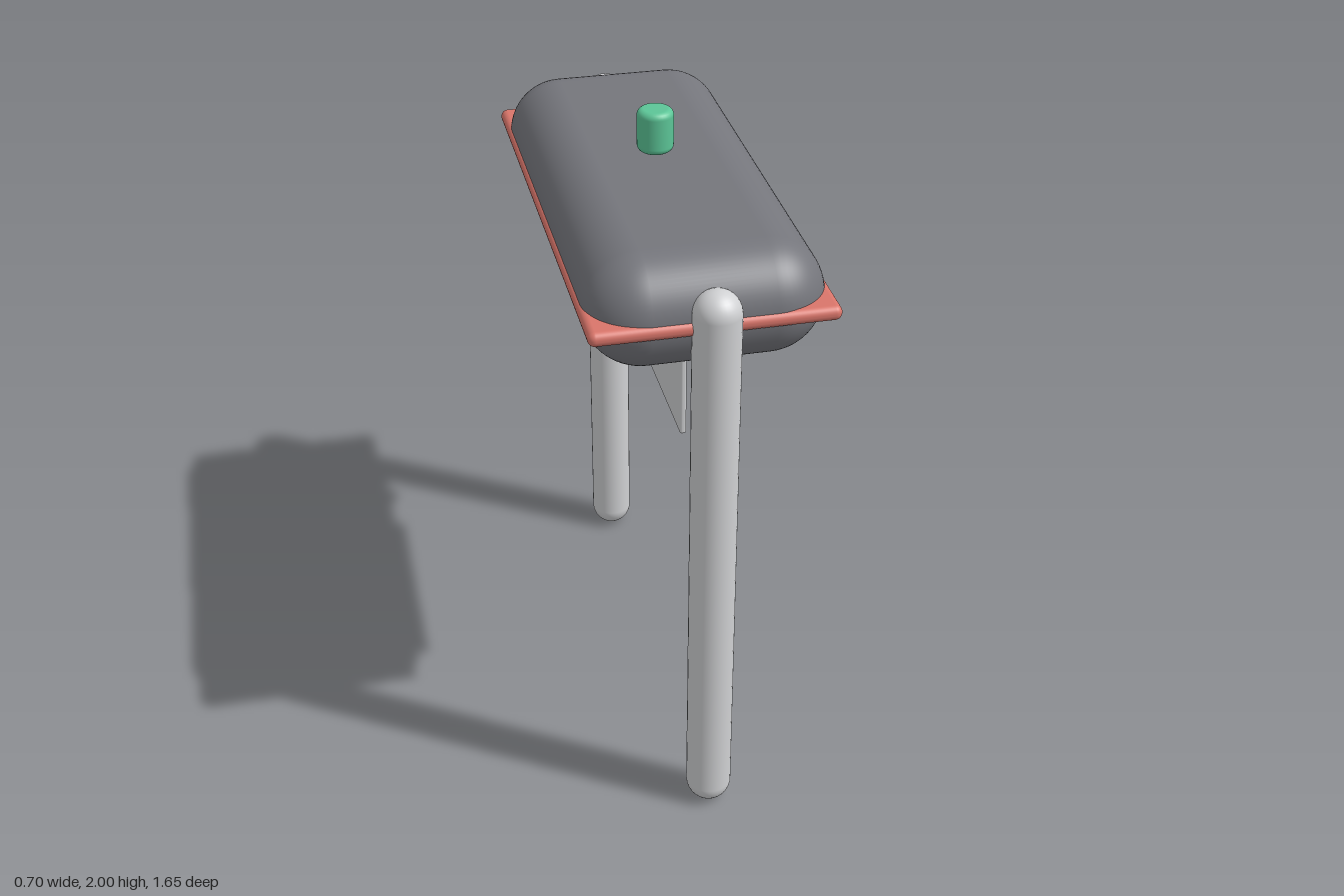
import * as THREE from 'three';
import { RoundedBoxGeometry } from 'three/addons/geometries/RoundedBoxGeometry.js';

const material = (name, color) => {
  const m = new THREE.MeshStandardMaterial({ color });
  m.name = name;
  return m;
};

// Upright cylinder with rounded rims, running from y0 to y1.
function roundedCylinder(radius, y0, y1, bevel) {
  const pts = [new THREE.Vector2(0, y0)];
  const arc = (cy, start) => {
    for (let i = 0; i <= 6; i++) {
      const a = start + (i / 6) * Math.PI / 2;
      pts.push(new THREE.Vector2(radius - bevel + bevel * Math.cos(a), cy + bevel * Math.sin(a)));
    }
  };
  arc(y0 + bevel, -Math.PI / 2);
  arc(y1 - bevel, 0);
  pts.push(new THREE.Vector2(0, y1));
  return new THREE.LatheGeometry(pts, 32);
}

export function createModel() {
  const group = new THREE.Group();
  group.name = 'tankOnPosts';
  const darkGrey = material('dark grey', 0x75767c);
  const lightGrey = material('light grey', 0xd0d1d3);
  const red = material('coral red', 0xd9756a);
  const green = material('mint green', 0x5cc597);

  const add = (name, geometry, mat, x = 0, y = 0, z = 0) => {
    const mesh = new THREE.Mesh(geometry, mat);
    mesh.name = name;
    mesh.position.set(x, y, z);
    group.add(mesh);
  };

  // Pillow-shaped body and the flat rim around its middle
  add('body', new RoundedBoxGeometry(0.686, 0.338, 1.514, 8, 0.168), darkGrey, 0, 1.688, 0);
  add('rim', new RoundedBoxGeometry(0.704, 0.044, 1.534, 4, 0.021), red, 0, 1.688, 0);

  // Round-ended posts, front and back
  for (const [name, side] of [['frontPost', 1], ['backPost', -1]]) {
    add(name, new THREE.CapsuleGeometry(0.069, 1.662, 10, 32), lightGrey, 0, 0.9, side * 0.758);
  }

  // Floating knob above, short pipe and thin panel below
  add('knob', roundedCylinder(0.055, 1.868, 2, 0.02), green);
  add('pipe', roundedCylinder(0.054, 1.178, 1.53, 0.01), lightGrey, 0, 0, -0.55);
  add('panel', new RoundedBoxGeometry(0.02, 0.276, 0.77, 3, 0.008), lightGrey, 0, 1.247, 0);

  return group;
}
